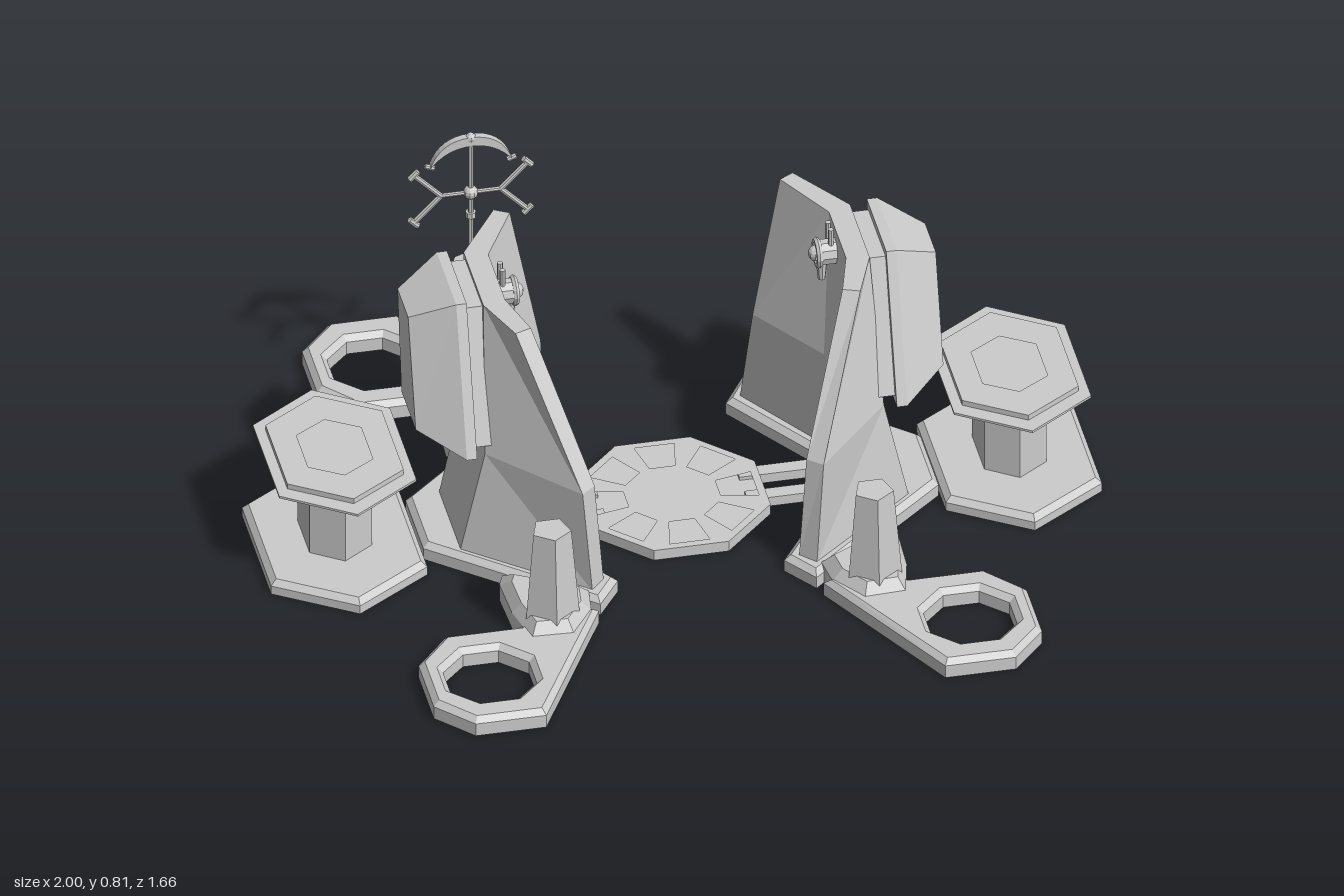
import * as THREE from 'three';
import { mergeGeometries } from 'three/addons/utils/BufferGeometryUtils.js';

const mat = new THREE.MeshStandardMaterial({ color: 0xcccccc, flatShading: true });

// Solid through stacked outlines: each section is [height, [[x, z], ...]]
function loft(sections) {
  const first = sections[0][1].map(([x, z]) => new THREE.Vector2(x, -z));
  const flip = THREE.ShapeUtils.area(first) < 0;
  const rings = sections.map(([h, pts]) => {
    const r = pts.map(([x, z]) => [x, h, z]);
    return flip ? r.reverse() : r;
  });
  const pos = [];
  const n = first.length;
  for (let k = 0; k + 1 < rings.length; k++) {
    for (let i = 0; i < n; i++) {
      const j = (i + 1) % n, a = rings[k], b = rings[k + 1];
      pos.push(...a[i], ...a[j], ...b[j], ...a[i], ...b[j], ...b[i]);
    }
  }
  const cap = (ring, up) => {
    const flat = ring.map(([x, , z]) => new THREE.Vector2(x, -z));
    for (const [a, b, c] of THREE.ShapeUtils.triangulateShape(flat, [])) {
      pos.push(...ring[a], ...ring[up ? b : c], ...ring[up ? c : b]);
    }
  };
  cap(rings[0], false);
  cap(rings[rings.length - 1], true);
  const g = new THREE.BufferGeometry();
  g.setAttribute('position', new THREE.Float32BufferAttribute(pos, 3));
  g.computeVertexNormals();
  return g;
}

// Flat plate with optional holes, outline in [x, z]
function plate(pts, y0, y1, holes = [], bevel = 0) {
  const v = (p) => p.map(([x, z]) => new THREE.Vector2(x, -z));
  const shape = new THREE.Shape(v(pts));
  shape.holes = holes.map((h) => new THREE.Path(v(h)));
  const g = new THREE.ExtrudeGeometry(shape, {
    depth: y1 - y0 - 2 * bevel, bevelEnabled: bevel > 0, bevelSize: bevel,
    bevelThickness: bevel, bevelOffset: -bevel, bevelSegments: 1,
  });
  return g.rotateX(-Math.PI / 2).translate(0, y0 + bevel, 0);
}

// Ground pad: straight sides with a bevelled top edge
const pad = (pts, h, holes = [], b = 0.014) => mergeGeometries([
  plate(pts, 0, h - b, holes), plate(pts, h - 2 * b - 0.002, h, holes, b)]);

const ngon = (n, r, cx = 0, cz = 0, turn = 0) => Array.from({ length: n }, (_, i) => {
  const a = turn + (i / n) * Math.PI * 2;
  return [cx + r * Math.cos(a), cz + r * Math.sin(a)];
});

// Long hexagon, pointed along z
const hex = (cx, hx, hz) => [[0, -1], [1, -0.57], [1, 0.57], [0, 1], [-1, 0.57], [-1, -0.57]]
  .map(([x, z]) => [cx + x * hx, z * hz]);

// Adds a mesh, mirrored in x or z when the sign is negative
function add(group, name, geo, sx = 1, sz = 1) {
  const g = geo.index ? geo.toNonIndexed() : geo.clone();
  g.scale(sx, 1, sz);
  if (sx * sz < 0) {
    const p = g.attributes.position;
    for (let i = 0; i < p.count; i += 3) {
      const b = new THREE.Vector3().fromBufferAttribute(p, i + 1);
      const c = new THREE.Vector3().fromBufferAttribute(p, i + 2);
      p.setXYZ(i + 1, c.x, c.y, c.z);
      p.setXYZ(i + 2, b.x, b.y, b.z);
    }
  }
  g.computeVertexNormals();
  const m = new THREE.Mesh(g, mat);
  m.name = name;
  group.add(m);
}

// Round bar between two points
function bar(a, b, r) {
  const A = new THREE.Vector3(...a), B = new THREE.Vector3(...b), d = B.clone().sub(A);
  const g = new THREE.CylinderGeometry(r, r, d.length(), 8);
  g.applyQuaternion(new THREE.Quaternion().setFromUnitVectors(new THREE.Vector3(0, 1, 0), d.normalize()));
  return g.translate(...A.add(B).multiplyScalar(0.5).toArray());
}

function buildSide(sx) {
  const side = new THREE.Group();
  side.name = sx > 0 ? 'leftSide' : 'rightSide';

  // Bent wall leaning outward, front edge sloping back
  add(side, 'wallBase', pad([[0.26, -0.425], [0.62, -0.1], [0.62, 0.1], [0.26, 0.41],
    [0.2, 0.325], [0.38, 0.06], [0.38, -0.06], [0.2, -0.33]], 0.045), sx);
  add(side, 'wall', loft([
    [0.04, [[0.27, -0.37], [0.54, -0.1], [0.54, 0.14], [0.27, 0.367],
      [0.235, 0.33], [0.4, 0.08], [0.4, -0.08], [0.235, -0.335]]],
    [0.31, [[0.29, -0.31], [0.48, -0.11], [0.48, 0.14], [0.29, 0.35],
      [0.255, 0.32], [0.385, 0.08], [0.385, -0.09], [0.255, -0.285]]],
    [0.675, [[0.36, -0.325], [0.465, -0.17], [0.465, 0.05], [0.415, 0.18],
      [0.375, 0.165], [0.41, 0.04], [0.41, -0.15], [0.325, -0.305]]],
  ]), sx);

  // Outer armour panel on a thinner backing
  const wide = [[-0.32, 0.17], [-0.685, 0.05], [-0.685, -0.17], [-0.32, -0.1]];
  const narrow = [[-0.365, 0.085], [-0.63, 0], [-0.63, -0.12], [-0.365, -0.075]];
  const back = wide.map(([y, z]) => [-0.5 + (y + 0.5) * 0.9, -0.02 + (z + 0.02) * 0.88]);
  add(side, 'panelBacking', loft([[0.45, back], [0.515, back]]).rotateZ(-Math.PI / 2), sx);
  add(side, 'armourPanel', loft([[0.505, wide], [0.53, wide], [0.635, narrow]]).rotateZ(-Math.PI / 2), sx);

  // Lamp hung inside the wall
  const disc = (r, w, x, n = 10) => new THREE.CylinderGeometry(r, r, w, n).rotateZ(Math.PI / 2).translate(x, 0.62, -0.07);
  add(side, 'lampHousing', disc(0.032, 0.05, 0.39), sx);
  add(side, 'lampRing', new THREE.TorusGeometry(0.03, 0.008, 6, 12).rotateY(Math.PI / 2).translate(0.365, 0.62, -0.07), sx);
  add(side, 'lampBulb', new THREE.SphereGeometry(0.02, 10, 8).translate(0.362, 0.62, -0.07), sx);
  add(side, 'lampTail', new THREE.CylinderGeometry(0.014, 0.009, 0.05, 8).translate(0.375, 0.57, -0.07), sx);
  for (const z of [-0.06, -0.09]) add(side, 'lampHook', bar([0.395, 0.63, z], [0.395, 0.69, z], 0.007), sx);

  // Table on its hexagonal pad
  add(side, 'tablePad', pad(hex(0.812, 0.188, 0.287), 0.037), sx);
  add(side, 'tablePost', loft([[0.03, hex(0.812, 0.075, 0.12)], [0.255, hex(0.812, 0.075, 0.12)]]), sx);
  add(side, 'tableTop', loft([[0.25, hex(0.812, 0.15, 0.235)], [0.262, hex(0.812, 0.165, 0.26)],
    [0.268, hex(0.812, 0.165, 0.26)]]), sx);
  add(side, 'tableRim', plate(hex(0.812, 0.14, 0.215), 0.262, 0.282, [hex(0.812, 0.078, 0.115)]), sx);

  // Ring pads with five-sided posts, front and back
  for (const sz of [1, -1]) {
    add(side, 'ringPad', pad([[0.48, 0.83], [0.65, 0.83], [0.732, 0.74], [0.732, 0.57], [0.65, 0.475],
      [0.47, 0.475], [0.44, 0.42], [0.27, 0.44]], 0.048, [ngon(8, 0.112, 0.578, 0.652, Math.PI / 8)]), sx, sz);
    const foot = [[0.28, 0.37], [0.465, 0.265], [0.48, 0.3], [0.475, 0.42], [0.45, 0.53], [0.35, 0.535], [0.29, 0.45]];
    const shrink = foot.map(([x, z]) => [0.39 + (x - 0.39) * 0.75, 0.44 + (z - 0.44) * 0.75]);
    add(side, 'postFoot', loft([[0, foot], [0.045, foot], [0.075, shrink]]), sx, sz);
    add(side, 'post', loft([[0.06, ngon(5, 0.068, 0.388, 0.452, Math.PI / 2)],
      [0.295, ngon(5, 0.048, 0.388, 0.452, Math.PI / 2)]]), sx, sz);
  }

  // Rails to the centre disc
  for (const z of [-0.055, 0.04]) {
    add(side, 'rail', new THREE.BoxGeometry(0.24, 0.025, 0.038).translate(0.29, 0.0125, z), sx);
  }
  return side;
}

function buildMast() {
  const mast = new THREE.Group();
  mast.name = 'mast';
  const drum = (name, r, y0, y1) => add(mast, name,
    new THREE.CylinderGeometry(r, r, y1 - y0, 8).translate(0, (y0 + y1) / 2, 0));
  drum('mastNeck', 0.034, 0.28, 0.37);
  drum('mastCore', 0.022, 0.36, 0.43);
  drum('mastCap', 0.045, 0.42, 0.436);
  for (const [x, z] of ngon(5, 0.03)) add(mast, 'mastColumn', bar([x, 0.36, z], [x, 0.425, z], 0.007));
  drum('mastPole', 0.007, 0.43, 0.79);
  drum('mastCollar', 0.013, 0.57, 0.585);
  add(mast, 'mastHub', new THREE.SphereGeometry(0.018, 10, 8).translate(0, 0.64, 0));

  // Crescent, thickest in the middle
  const crescent = new THREE.Shape();
  crescent.moveTo(-0.1, 0.725);
  crescent.quadraticCurveTo(-0.075, 0.803, 0, 0.803);
  crescent.quadraticCurveTo(0.075, 0.803, 0.1, 0.725);
  crescent.quadraticCurveTo(0.06, 0.778, 0, 0.778);
  crescent.quadraticCurveTo(-0.06, 0.778, -0.1, 0.725);
  add(mast, 'crescent', new THREE.ExtrudeGeometry(crescent, { depth: 0.018, bevelEnabled: false, curveSegments: 8 })
    .translate(0, 0, -0.009));
  add(mast, 'mastTip', new THREE.SphereGeometry(0.013, 8, 6).translate(0, 0.797, 0));

  // Forked arms with end caps
  for (const s of [1, -1]) {
    add(mast, 'crescentTip', bar([s * 0.088, 0.722, 0], [s * 0.11, 0.73, 0], 0.007));
    add(mast, 'arm', bar([0, 0.64, 0], [s * 0.075, 0.64, 0], 0.006));
    for (const v of [1, -1]) {
      const x = s * 0.137, y = 0.64 + v * 0.068;
      add(mast, 'fork', bar([s * 0.072, 0.64, 0], [x, y, 0], 0.007));
      add(mast, 'forkCap', bar([x - s * 0.01, y + v * 0.01, 0], [x + s * 0.01, y - v * 0.01, 0], 0.008));
    }
  }
  mast.position.set(-0.387, 0, -0.455);
  return mast;
}

export function createModel() {
  const model = new THREE.Group();
  model.name = 'outpost';

  // Centre disc with eight sunken panels
  const t = Math.PI / 8;
  const polar = (r, a) => [r * Math.cos(a), r * Math.sin(a)];
  const cells = Array.from({ length: 8 }, (_, i) => {
    const a = i * 2 * t;
    return [polar(0.115, a - 0.27), polar(0.205, a - 0.24), polar(0.205, a + 0.24), polar(0.115, a + 0.27)];
  });
  add(model, 'discBase', plate(ngon(8, 0.236, 0, 0, t), 0, 0.016));
  add(model, 'discFrame', plate(ngon(8, 0.236, 0, 0, t), 0.014, 0.028, cells));

  model.add(buildSide(1), buildSide(-1), buildMast());
  return model;
}
